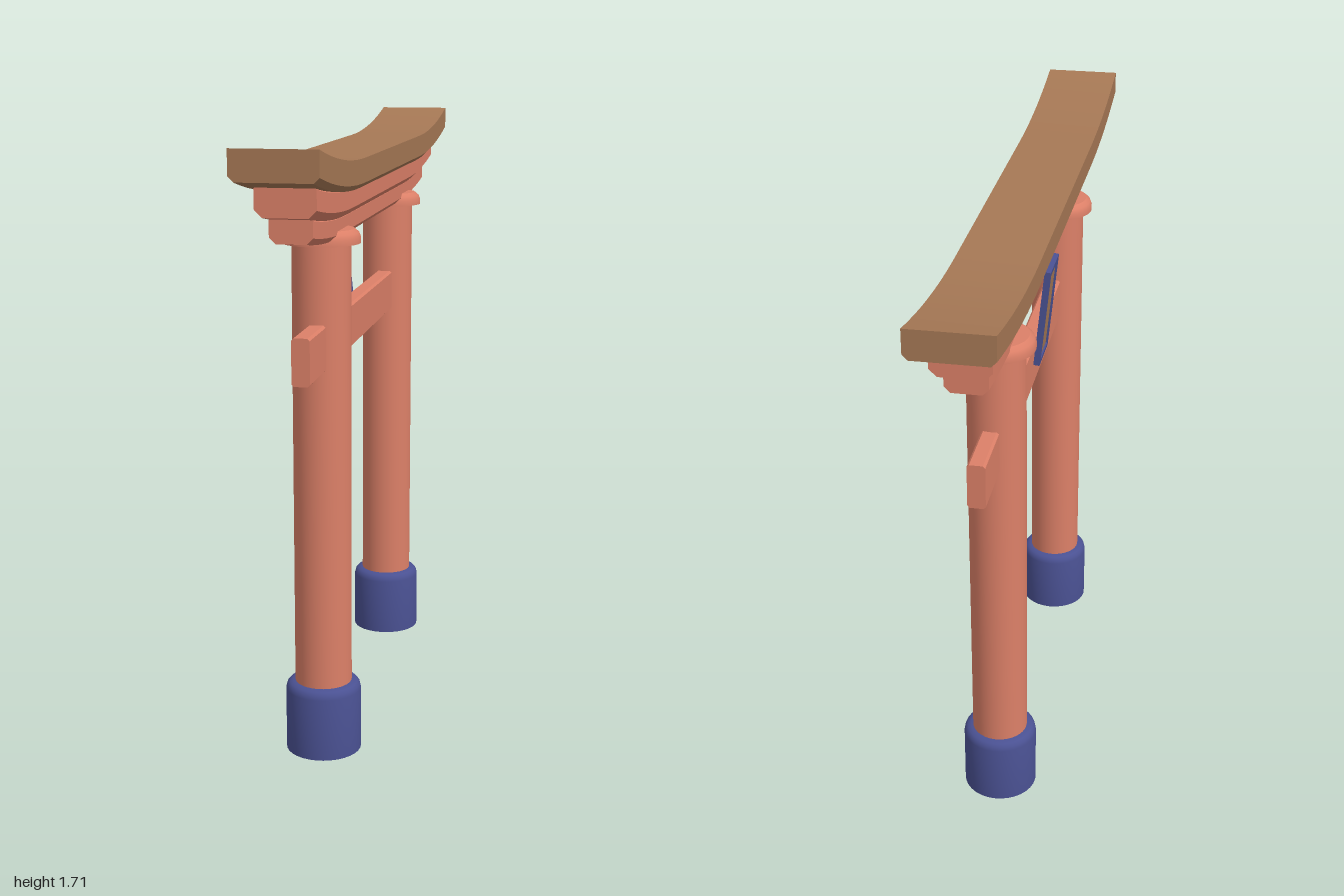
import * as THREE from 'three';
import { toCreasedNormals } from 'three/addons/utils/BufferGeometryUtils.js';

const red = new THREE.MeshStandardMaterial({ color: 0xdc8068 });
const brown = new THREE.MeshStandardMaterial({ color: 0xa67855 });
const blue = new THREE.MeshStandardMaterial({ color: 0x4a5192 });

// Upward sweep of the top beams towards their ends
const lift = (z) => 0.06 * Math.max(0, (Math.abs(z) - 0.45) / 0.558) ** 2;

// Beam along z with chamfered long edges, optionally swept up at the ends
function beam(name, material, halfLength, halfWidth, bottom, top, chamferTop, chamferBottom, swept) {
  const w = halfWidth, a = chamferTop, b = chamferBottom;
  const points = [
    [-w + b, bottom], [w - b, bottom], [w, bottom + b], [w, top - a],
    [w - a, top], [-w + a, top], [-w, top - a], [-w, bottom + b],
  ].map(([x, y]) => new THREE.Vector2(x, y));
  const section = points.filter((p, i) => p.distanceTo(points[(i + 1) % 8]) > 1e-6);
  const geometry = new THREE.ExtrudeGeometry(new THREE.Shape(section), {
    depth: 2 * halfLength, steps: swept ? 32 : 1, bevelEnabled: false,
  });
  geometry.translate(0, 0, -halfLength);
  if (swept) {
    const pos = geometry.attributes.position;
    for (let i = 0; i < pos.count; i++) pos.setY(i, pos.getY(i) + lift(pos.getZ(i)));
  }
  const mesh = new THREE.Mesh(toCreasedNormals(geometry, 0.5), material);
  mesh.name = name;
  return mesh;
}

// Round part from a radius/height profile
function turned(name, material, profile) {
  const geometry = new THREE.LatheGeometry(profile.map(([r, y]) => new THREE.Vector2(r, y)), 32);
  const mesh = new THREE.Mesh(toCreasedNormals(geometry, 0.6), material);
  mesh.name = name;
  return mesh;
}

function box(name, material, size, position) {
  const mesh = new THREE.Mesh(new THREE.BoxGeometry(...size), material);
  mesh.position.set(...position);
  mesh.name = name;
  return mesh;
}

export function createModel() {
  const model = new THREE.Group();
  model.name = 'gate';
  const gate = new THREE.Group();
  gate.name = 'turnedGate';
  gate.rotation.y = THREE.MathUtils.degToRad(15.7);
  model.add(gate);

  // Pillars with footing and cap
  for (const side of [1, -1]) {
    const pillar = new THREE.Group();
    pillar.name = side > 0 ? 'frontPillar' : 'backPillar';
    pillar.position.set(-0.003, 0, side * 0.494 - 0.004);
    pillar.add(
      turned('shaft', red, [[0, 0.1], [0.079, 0.1], [0.079, 1.45], [0, 1.45]]),
      turned('footing', blue, [[0, 0], [0.105, 0], [0.105, 0.178], [0.102, 0.19], [0.095, 0.198], [0.085, 0.202], [0, 0.202]]),
      turned('cap', red, [[0, 1.43], [0.105, 1.43], [0.105, 1.445], [0.1, 1.458], [0.088, 1.468], [0, 1.468]]),
    );
    gate.add(pillar);
  }

  // Crossbeams and roof
  gate.add(
    beam('tieBeam', red, 0.752, 0.024, 1.097, 1.222, 0.006, 0.006, false),
    beam('lowerLintel', red, 0.841, 0.055, 1.44, 1.508, 0.01, 0.016, true),
    beam('upperLintel', red, 0.897, 0.077, 1.5, 1.58, 0.01, 0.02, true),
    beam('roof', brown, 1.008, 0.109, 1.572, 1.65, 0, 0.014, true),
  );

  // Leaning plaque: board inside a raised frame
  const plaque = new THREE.Group();
  plaque.name = 'plaque';
  plaque.position.set(-0.05, 1.312, 0);
  plaque.rotation.z = 0.108;
  plaque.add(
    box('backing', blue, [0.008, 0.292, 0.142], [0.005, 0, 0]),
    box('board', brown, [0.006, 0.27, 0.12], [-0.001, 0, 0]),
  );
  for (const s of [1, -1]) {
    plaque.add(
      box('frameRail', blue, [0.018, 0.014, 0.142], [0, s * 0.139, 0]),
      box('frameStile', blue, [0.018, 0.264, 0.014], [0, 0, s * 0.064]),
    );
  }
  gate.add(plaque);
  return model;
}
